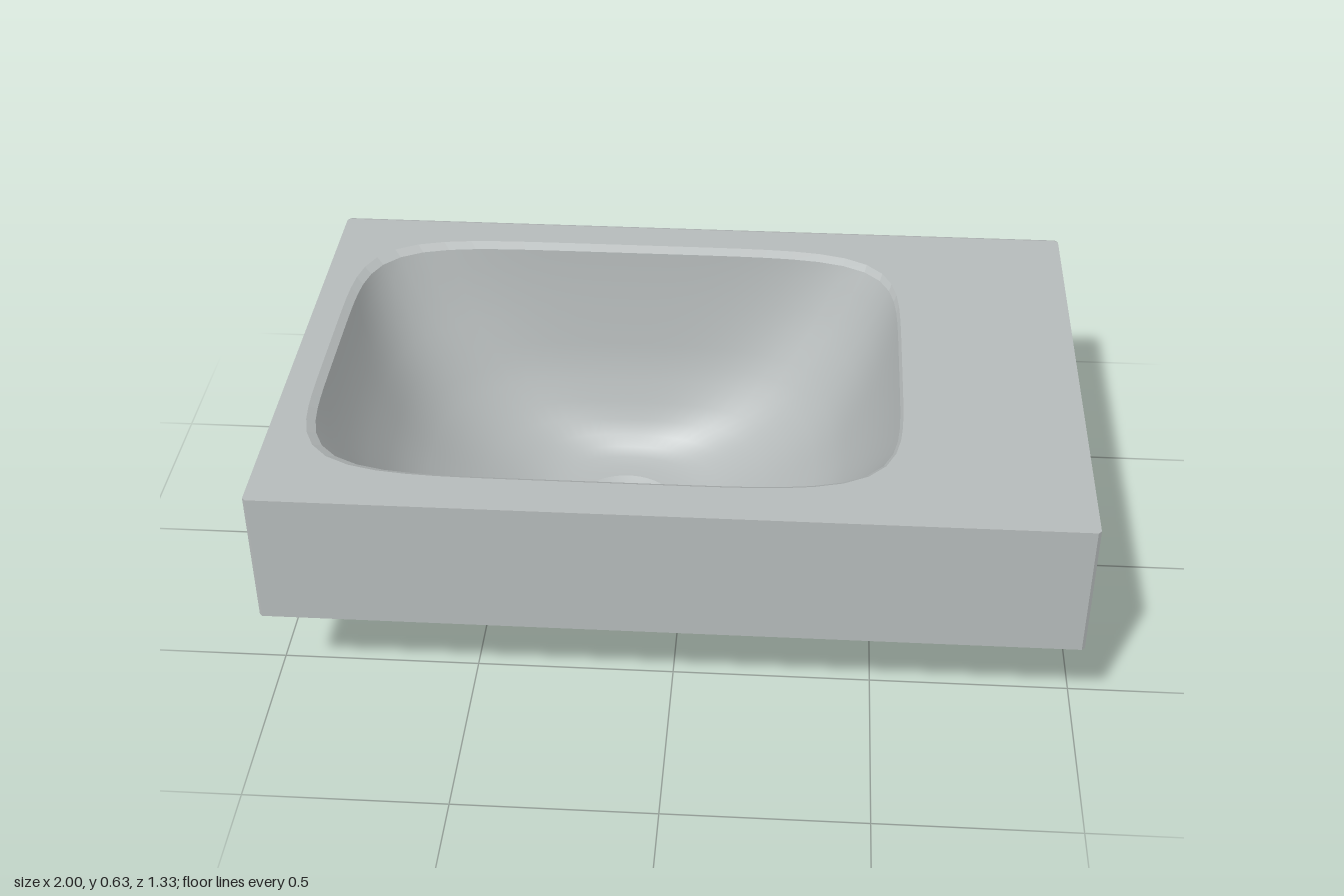
import * as THREE from 'three';

const SEG = 80;

// Closed horizontal ring between two x and two z limits; n = 2 is an ellipse, higher is squarer
function ring([y, x0, x1, z0, z1, n]) {
  const pts = [];
  for (let i = 0; i < SEG; i++) {
    const t = (i / SEG) * Math.PI * 2, c = Math.cos(t), s = Math.sin(t);
    const r = 1 / Math.pow(Math.abs(c) ** n + Math.abs(s) ** n, 1 / n);
    pts.push(new THREE.Vector3((x0 + x1) / 2 + (x1 - x0) / 2 * r * c, y, (z0 + z1) / 2 + (z1 - z0) / 2 * r * s));
  }
  return pts;
}

// Rectangle with small chamfered corners
function rect(y, x, zBack, zFront, c) {
  return [[x, zBack + c], [x, zFront - c], [x - c, zFront], [c - x, zFront],
    [-x, zFront - c], [-x, zBack + c], [c - x, zBack], [x - c, zBack]]
    .map(([px, pz]) => new THREE.Vector3(px, y, pz));
}

// Skin joining successive rings; smooth or faceted
function loft(rings, smooth) {
  const m = rings[0].length, pos = [], idx = [];
  rings.forEach(r => r.forEach(p => pos.push(p.x, p.y, p.z)));
  for (let k = 0; k < rings.length - 1; k++) {
    for (let i = 0; i < m; i++) {
      const j = (i + 1) % m, a = k * m + i, b = a + m, c = k * m + j, d = c + m;
      idx.push(a, b, c, c, b, d);
    }
  }
  let g = new THREE.BufferGeometry();
  g.setAttribute('position', new THREE.Float32BufferAttribute(pos, 3));
  g.setIndex(idx);
  if (!smooth) g = g.toNonIndexed();
  g.computeVertexNormals();
  return g;
}

// Flat face at height y with an opening, facing up (dir 1) or down (dir -1)
function plate(outer, inner, y, dir) {
  const flat = pts => pts.map(p => new THREE.Vector2(p.x, -dir * p.z));
  const shape = new THREE.Shape(flat(outer));
  shape.holes.push(new THREE.Path(flat(inner)));
  return new THREE.ShapeGeometry(shape).rotateX(-dir * Math.PI / 2).translate(0, y, 0);
}

export function createModel() {
  const ceramic = new THREE.MeshStandardMaterial({ color: 0xb5baba, side: THREE.DoubleSide });
  ceramic.name = 'greyCeramic';
  const group = new THREE.Group();
  group.name = 'washbasin';
  const add = (name, geometry) => {
    const mesh = new THREE.Mesh(geometry, ceramic);
    mesh.name = name;
    group.add(mesh);
  };

  const TOP = 0.63, UNDER = 0.275;
  const opening = [TOP, -0.925, 0.555, -0.555, 0.545, 5.5];
  const lip = [0.618, -0.905, 0.548, -0.532, 0.525, 5.5];
  const waist = [UNDER, -0.75, 0.39, -0.5, 0.36, 3.1];

  // Slab: side walls with an eased back top edge
  const walls = [
    rect(UNDER, 1, -0.665, 0.665, 0.008),
    rect(0.615, 1, -0.665, 0.665, 0.008),
    rect(0.626, 1, -0.661, 0.665, 0.008),
    rect(TOP, 1, -0.65, 0.665, 0.008),
  ];
  add('slabWalls', loft(walls));
  add('slabTop', plate(walls[3], ring(opening), TOP, 1));
  add('slabUnderside', plate(walls[0], ring(waist), UNDER, -1));

  // Eased lip around the opening
  add('basinLip', loft([opening, lip].map(ring)));

  // Bowl: steep at the back, sloping at the front and sides
  const bowl = [
    lip,
    [0.56, -0.89, 0.53, -0.53, 0.495, 4.8],
    [0.48, -0.862, 0.5, -0.524, 0.455, 4.2],
    [0.40, -0.825, 0.463, -0.516, 0.418, 3.7],
    [0.33, -0.785, 0.425, -0.508, 0.386, 3.3],
    waist,
    [0.22, -0.702, 0.342, -0.485, 0.307, 3],
    [0.16, -0.636, 0.276, -0.467, 0.255, 2.9],
    [0.11, -0.567, 0.207, -0.449, 0.206, 2.8],
    [0.07, -0.498, 0.138, -0.428, 0.158, 2.6],
    [0.045, -0.447, 0.09, -0.405, 0.118, 2.5],
    [0.03, -0.405, 0.05, -0.375, 0.08, 2.3],
    [0.022, -0.37, 0.01, -0.34, 0.04, 2.1],
    [0.02, -0.33, -0.03, -0.3, 0, 2],
  ];
  add('bowl', loft(bowl.map(ring), true));

  // Tapered drain seat, open in the middle
  const drain = [
    [0.02, -0.33, -0.03, -0.3, 0, 2],
    [0.004, -0.295, -0.065, -0.265, -0.035, 2],
    [0, -0.28, -0.08, -0.25, -0.05, 2],
  ];
  add('drainSeat', loft(drain.map(ring), true));

  return group;
}
